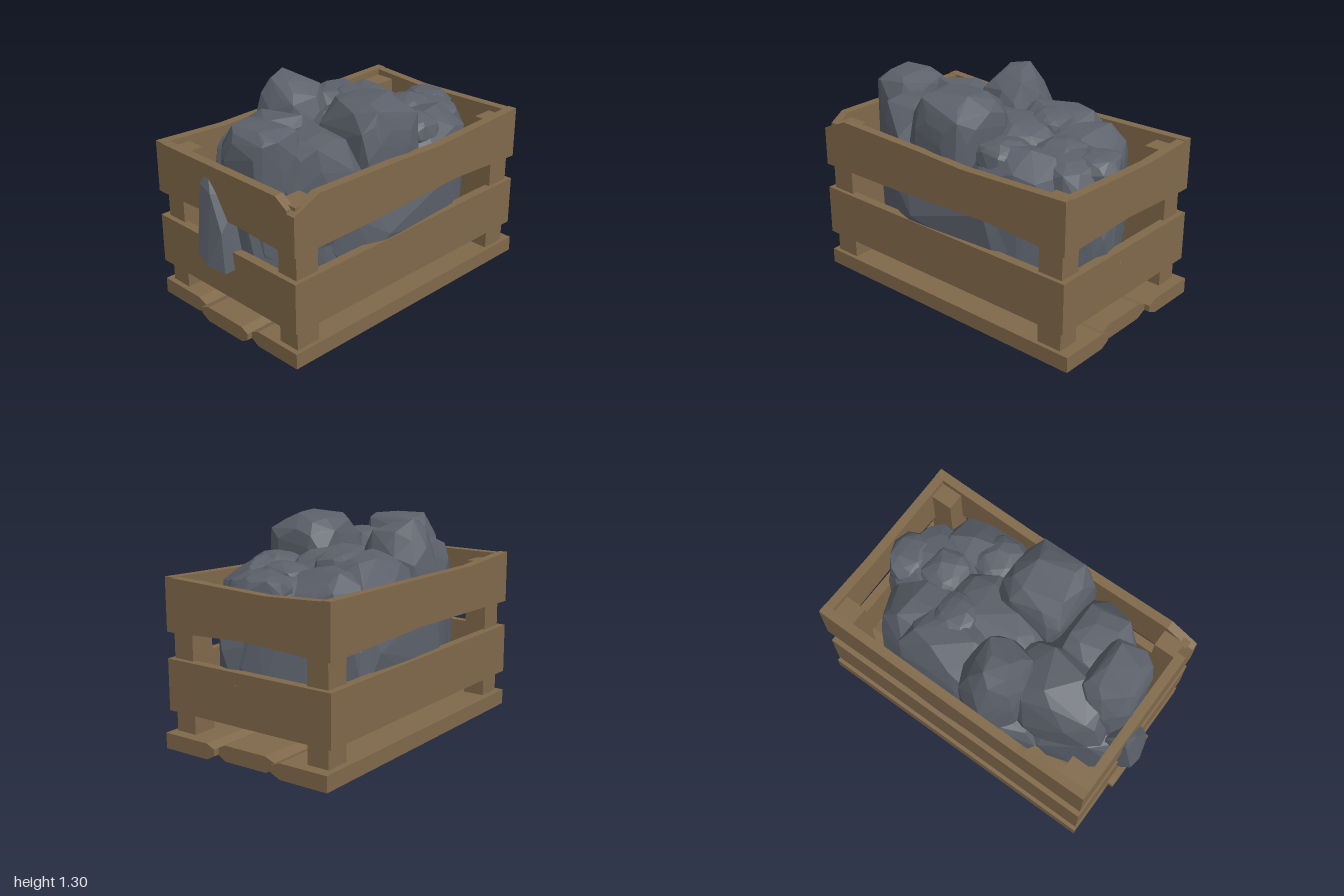
import * as THREE from 'three';
import { ConvexGeometry } from 'three/addons/geometries/ConvexGeometry.js';

const L = -0.913, R = 0.963, D = 0.583, T = 0.057; // crate ends, half depth, plank thickness

export function createModel() {
  const model = new THREE.Group();
  const wood = new THREE.MeshStandardMaterial({ color: 0x80694a });
  wood.name = 'wood';
  const stone = new THREE.MeshStandardMaterial({ color: 0x5b606a });
  stone.name = 'stone';

  const add = (name, geometry, material, x = 0, y = 0, z = 0) => {
    const mesh = new THREE.Mesh(geometry, material);
    mesh.name = name;
    mesh.position.set(x, y, z);
    model.add(mesh);
  };
  const extrude = (pts, depth) => new THREE.ExtrudeGeometry(
    new THREE.Shape(pts.map(p => new THREE.Vector2(...p))), { depth, bevelEnabled: false });
  // outline in (z, y), thickness running toward -x
  const extrudeSide = (pts, depth) => extrude(pts, depth).rotateY(-Math.PI / 2);

  // floor boards with pinched long edges
  const board = (name, pts, x0, x1) => add(name, extrudeSide(pts, x1 - x0), wood, x1);
  const h = 0.095;
  for (const s of [1, -1]) {
    const inner = s > 0 ? 0.21 : 0.2;
    const pts = [[D, 0], [D, h], [0.265, h], [inner, 0.07], [inner, 0.03], [0.265, 0]];
    board('outerFloorBoard', pts.map(([z, y]) => [z * s, y]), L, 1);
  }
  board('middleFloorBoard', [[0.16, 0], [0.21, 0.03], [0.21, 0.07], [0.16, h],
    [-0.135, h], [-0.2, 0.07], [-0.2, 0.03], [-0.135, 0]], -0.945, 0.965);

  // corner posts
  const post = new THREE.BoxGeometry(0.16, 0.87, 0.14);
  for (const x of [-0.8, 0.85]) for (const z of [-0.472, 0.487]) add('cornerPost', post, wood, x, 0.53, z);

  // lower slats
  for (const s of [1, -1]) {
    add('lowerLongSlat', new THREE.BoxGeometry(R - L, 0.31, T), wood, (L + R) / 2, 0.377, s * (D - T / 2));
    add('lowerEndSlat', new THREE.BoxGeometry(T, 0.31, 2 * (D - T)), wood,
      s > 0 ? R - T / 2 : L + T / 2, 0.377, 0);
  }

  // worn upper slats
  add('upperFrontSlat', extrude([[L, 0.69], [-0.3, 0.695], [0.4, 0.72], [R, 0.69], [R, 1.01],
    [0.62, 0.995], [0.23, 0.98], [-0.1, 0.995], [-0.73, 1.01], [L, 0.93]], T), wood, 0, 0, D - T);
  add('upperBackSlat', extrude([[L, 0.69], [0.1, 0.715], [R, 0.69], [R, 1.01],
    [-0.45, 0.985], [L, 1.01]], T), wood, 0, 0, -D);
  const e = D - T;
  add('upperRightEndSlat', extrudeSide([[-e, 0.69], [0.02, 0.715], [e, 0.69], [e, 1.005],
    [-0.15, 0.985], [-e, 1.005]], T), wood, R);
  add('upperLeftEndSlat', extrudeSide([[-e, 0.69], [0.1, 0.71], [e, 0.69], [e, 0.95],
    [0.44, 1.005], [-e, 1.005]], T), wood, L + T);

  // rocks: jagged convex lumps, lower power means boxier;
  // diagonal limits (normal x, normal z, distance) keep the heap oval
  const limits = [[-0.58, 0.815, 0.656], [-0.43, -0.903, 0.57], [0.574, 0.82, 0.725], [0.868, -0.496, 0.776]];
  let seed = 11;
  const rand = () => (seed = (seed * 16807) % 2147483647) / 2147483647;
  const rock = (name, power, x, y, z, rx, ry, rz) => {
    const bend = v => Math.sign(v) * Math.abs(v) ** power;
    const pts = [], n = 80;
    for (let i = 0; i < n; i++) {
      const v = 1 - (2 * i + 1) / n, a = i * 2.39996 + rand() * 0.5, c = Math.sqrt(1 - v * v);
      const k = 0.9 + rand() * 0.12;
      const p = new THREE.Vector3(x + bend(c * Math.cos(a)) * rx * k, y + bend(v) * ry * k,
        z + bend(c * Math.sin(a)) * rz * k);
      for (const [nx, nz, d] of limits) {
        const over = p.x * nx + p.z * nz - d + rand() * 0.02;
        if (over > 0) p.set(p.x - nx * over, p.y, p.z - nz * over);
      }
      pts.push(p);
    }
    add(name, new ConvexGeometry(pts), stone);
  };

  // tall rocks at the crown: front ones boxy, back ones rounder
  rock('leftCrownRock', 0.5, -0.68, 0.82, 0.07, 0.18, 0.44, 0.25);
  rock('frontCrownRock', 0.5, -0.04, 0.85, 0.29, 0.25, 0.455, 0.26);
  rock('backCrownRock', 0.85, -0.11, 0.8, -0.29, 0.23, 0.52, 0.25);

  // shoulders of the heap
  for (const r of [
    [-0.46, 0.78, 0.22, 0.26, 0.41, 0.29],
    [-0.43, 0.74, -0.12, 0.38, 0.44, 0.27],
    [0.22, 0.68, -0.28, 0.36, 0.47, 0.27],
    [0.48, 0.66, -0.22, 0.32, 0.43, 0.31],
    [0.12, 0.72, 0, 0.38, 0.43, 0.28],
    [0.64, 0.66, 0.08, 0.28, 0.42, 0.3],
    [0.42, 0.68, 0.28, 0.34, 0.41, 0.26],
  ]) rock('shoulderRock', 0.75, ...r);

  // half-buried stones on top
  for (const [x, y, z] of [[0.28, 1.02, -0.15], [0.3, 0.98, 0.3], [0.76, 0.94, 0.02], [0.52, 0.97, 0.06]]) {
    rock('topStone', 0.8, x, y, z, 0.15, 0.12, 0.17);
  }

  // broad rocks seen between the slats, one toward each wall
  rock('frontMiddleRock', 0.65, 0.05, 0.58, 0.31, 0.6, 0.28, 0.275);
  rock('backMiddleRock', 0.65, 0.1, 0.58, -0.32, 0.6, 0.26, 0.255);
  rock('rightMiddleRock', 0.65, 0.67, 0.57, 0.04, 0.29, 0.24, 0.44);
  rock('leftMiddleRock', 0.65, -0.6, 0.57, 0, 0.29, 0.29, 0.42);

  // rocks resting near the floor
  rock('lowerFrontRock', 0.7, -0.37, 0.44, 0.23, 0.35, 0.37, 0.24);
  rock('lowerBackRock', 0.8, 0.06, 0.42, -0.33, 0.15, 0.34, 0.15);
  rock('lowerRightRock', 0.75, 0.45, 0.48, -0.29, 0.26, 0.31, 0.17);

  // pointed rock pushed out through the left end
  add('pokingRock', new ConvexGeometry([
    [-0.9, 0.96, -0.13], [-0.93, 0.88, -0.17], [-0.94, 0.85, -0.07], [-0.96, 0.65, -0.15],
    [-0.96, 0.65, 0.04], [-0.99, 0.48, -0.14], [-1, 0.43, -0.05], [-0.97, 0.41, 0.07],
    [-0.94, 0.4, -0.15], [-0.9, 0.38, 0], [-0.8, 0.45, -0.2], [-0.8, 0.45, 0.12],
    [-0.8, 0.85, -0.18], [-0.8, 0.85, 0.05]].map(p => new THREE.Vector3(...p))), stone);
  // small tip showing through the right end
  add('rockTip', new THREE.OctahedronGeometry(0.018), stone, 0.95, 0.457, 0.07);

  return model;
}
